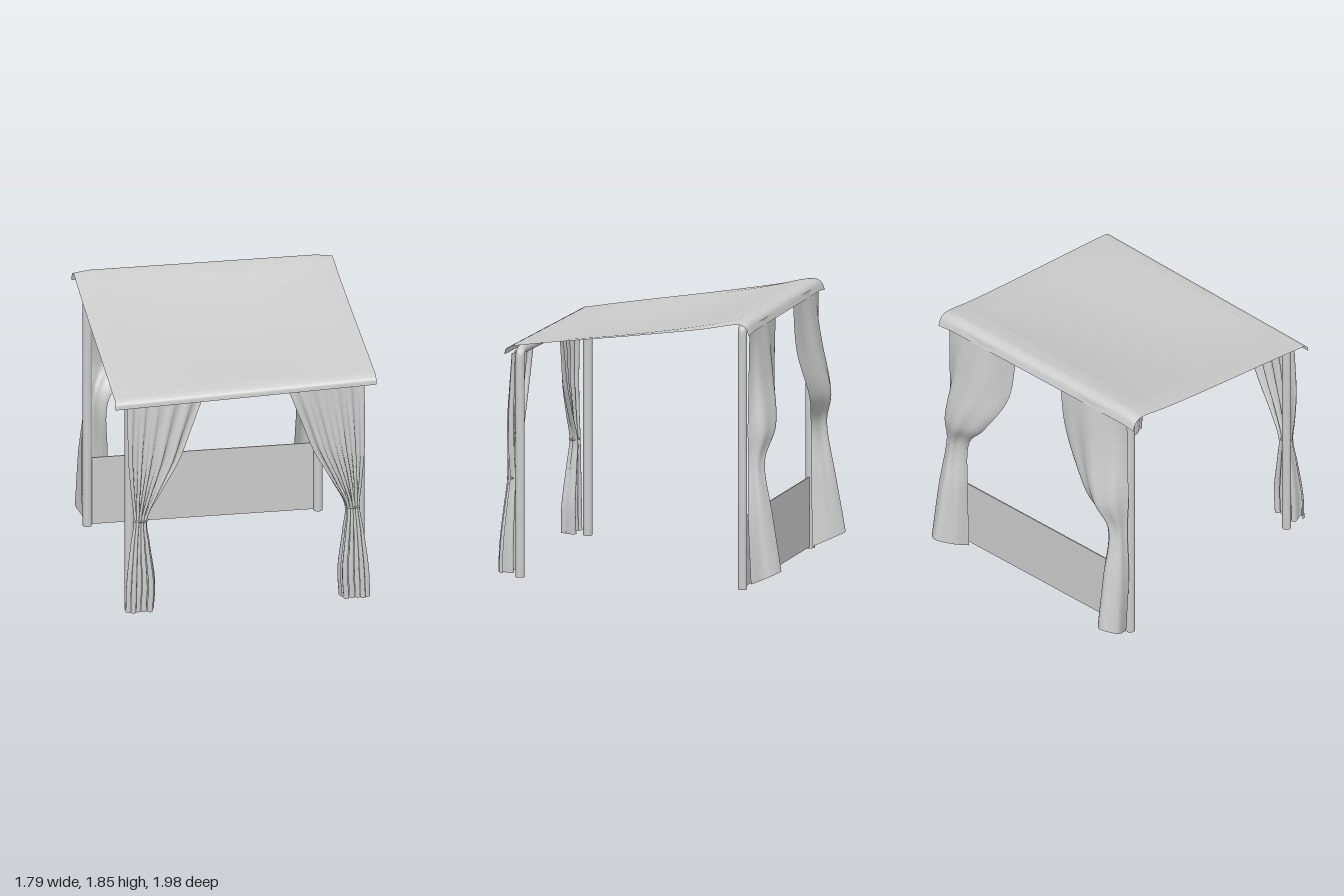
import * as THREE from 'three';

const cloth = new THREE.MeshStandardMaterial({ color: 0xcccccc, side: THREE.DoubleSide });
cloth.name = 'cloth grey';

function add(parent, name, geometry) {
  const mesh = new THREE.Mesh(geometry, cloth);
  mesh.name = name;
  parent.add(mesh);
  return mesh;
}

// Smooth grid surface from a point function of (u, v)
function sheet(nu, nv, point) {
  const pos = [], index = [];
  for (let j = 0; j <= nv; j++) {
    for (let i = 0; i <= nu; i++) {
      pos.push(...point(i / nu, j / nv));
      if (i < nu && j < nv) {
        const a = j * (nu + 1) + i, b = a + nu + 1;
        index.push(a, a + 1, b, a + 1, b + 1, b);
      }
    }
  }
  const g = new THREE.BufferGeometry();
  g.setAttribute('position', new THREE.Float32BufferAttribute(pos, 3));
  g.setIndex(index);
  g.computeVertexNormals();
  return g;
}

// Two posts joined by a top bar with rounded corners
function arch(z, yLeft, yRight) {
  const v = (x, y) => new THREE.Vector3(x, y, z);
  const x = 0.79, r = 0.05;
  const path = new THREE.CurvePath();
  path.add(new THREE.LineCurve3(v(-x, 0), v(-x, yLeft - r)));
  path.add(new THREE.QuadraticBezierCurve3(v(-x, yLeft - r), v(-x, yLeft), v(-x + r, yLeft)));
  path.add(new THREE.LineCurve3(v(-x + r, yLeft), v(x - r, yRight)));
  path.add(new THREE.QuadraticBezierCurve3(v(x - r, yRight), v(x, yRight), v(x, yRight - r)));
  path.add(new THREE.LineCurve3(v(x, yRight - r), v(x, 0)));
  return new THREE.TubeGeometry(path, 240, 0.031, 16, false);
}

// Curtain through cross-sections: { y, amp, pts: [[x, z], ...] } from top to bottom
function curtain(rows, side, pleats, hem) {
  const nu = 72, nv = 60;
  const curves = rows.map(r => new THREE.CatmullRomCurve3(
    r.pts.map(([x, z]) => new THREE.Vector3(x, r.y, z))));
  const columns = [];
  for (let i = 0; i <= nu; i++) {
    const u = i / nu;
    columns.push(new THREE.CatmullRomCurve3(rows.map((r, k) => {
      const p = curves[k].getPoint(u);
      const phase = u * Math.PI * 2 * pleats + 0.4;
      p.z += r.amp * Math.sin(phase) * (0.75 + 0.25 * Math.sin(u * 9));
      p.x += r.amp * 0.25 * Math.sin(phase * 2);
      return p;
    })));
  }
  return sheet(nu, nv, (u, v) => {
    const p = columns[Math.round(u * nu)].getPoint(v);
    return [side * p.x, p.y + hem(p, v), p.z];
  });
}

const frontRows = [
  [1.53, 0.008, 0.81, 0.29, 0.89], [1.3, 0.016, 0.81, 0.375, 0.9],
  [1.08, 0.022, 0.805, 0.46, 0.91], [0.85, 0.026, 0.785, 0.59, 0.91],
  [0.67, 0.03, 0.767, 0.68, 0.905], [0.5, 0.038, 0.79, 0.665, 0.915],
  [0.22, 0.052, 0.82, 0.63, 0.93], [0.03, 0.056, 0.825, 0.64, 0.932],
].map(([y, amp, xo, xi, z]) => ({
  y, amp, pts: [[xo, z - 0.01], [xo * 0.55 + xi * 0.45, z + 0.005], [xi, z - 0.01]],
}));

const backRows = [
  { y: 1.81, amp: 0, pts: [[0.81, -0.79], [0.65, -0.795], [0.5, -0.8], [0.35, -0.795], [0.2, -0.79]] },
  { y: 1.45, amp: 0.004, pts: [[0.81, -0.785], [0.7, -0.84], [0.55, -0.865], [0.4, -0.83], [0.26, -0.8]] },
  { y: 1.1, amp: 0.008, pts: [[0.81, -0.78], [0.76, -0.88], [0.66, -0.92], [0.56, -0.89], [0.46, -0.83]] },
  { y: 0.88, amp: 0.008, pts: [[0.8, -0.78], [0.78, -0.84], [0.73, -0.87], [0.68, -0.84], [0.63, -0.79]] },
  { y: 0.5, amp: 0.004, pts: [[0.82, -0.785], [0.82, -0.88], [0.74, -0.93], [0.67, -0.87], [0.64, -0.79]] },
  { y: 0.04, amp: 0, pts: [[0.81, -0.8], [0.84, -0.92], [0.75, -0.995], [0.66, -0.91], [0.62, -0.8]] },
];

// Canopy: front-to-back profile with sagging middle, lower front corner on the -x side
function canopy() {
  const profile = new THREE.CatmullRomCurve3([
    [0.91, 1.54], [0.903, 1.575], [0.87, 1.597], [0.8, 1.61], [0.5, 1.655], [0, 1.725],
    [-0.5, 1.803], [-0.68, 1.84], [-0.74, 1.846], [-0.785, 1.825], [-0.81, 1.77],
  ].map(([z, y]) => new THREE.Vector3(0, y, z)), false, 'centripetal');
  return sheet(32, 80, (u, v) => {
    const p = profile.getPoint(v);
    const s = u * 2 - 1;
    const front = THREE.MathUtils.clamp((p.z + 0.7) / 1.6, 0, 1);
    const inner = THREE.MathUtils.clamp((0.8 - p.z) / 1.4, 0, 1);
    const sag = 0.05 * Math.sin(Math.PI * inner) * (1 - s * s);
    const corner = 0.015 * THREE.MathUtils.clamp((Math.abs(s) - 0.88) / 0.12, 0, 1) * (1 - front);
    const x = s < 0 ? s * (0.885 + 0.015 * front) : s * 0.89;
    const z = p.z + (p.z > 0.85 ? 0.015 * (1 - u) : 0);
    return [x, p.y - 0.055 * (1 - u) * front - sag - corner, z];
  });
}

export function createModel() {
  const model = new THREE.Group();
  model.name = 'curtainedCanopy';

  // Frame
  add(model, 'frontFrame', arch(0.83, 1.505, 1.555));
  add(model, 'backFrame', arch(-0.735, 1.805, 1.805));
  for (const x of [-0.79, 0.79]) {
    for (const z of [0.83, -0.735]) {
      const foot = add(model, 'postFoot', new THREE.CylinderGeometry(0.031, 0.031, 0.01, 16));
      foot.position.set(x, 0.005, z);
    }
  }

  // Roof cloth and low back wall
  add(model, 'canopyRoof', canopy());
  const wall = add(model, 'backWall', new THREE.BoxGeometry(1.58, 0.48, 0.008));
  wall.position.set(0, 0.25, -0.735);

  // Tied curtains, mirrored left and right
  for (const side of [-1, 1]) {
    const name = side > 0 ? 'left' : 'right';
    add(model, name + 'FrontCurtain', curtain(frontRows, side, 5, () => 0));
    add(model, name + 'BackCurtain', curtain(backRows, side, 3,
      (p, v) => 0.45 * Math.max(0, -0.8 - p.z) * THREE.MathUtils.smoothstep(v, 0.75, 1)));
    const tie = add(model, name + 'CurtainTie',
      new THREE.TorusGeometry(0.045, 0.006, 8, 28).rotateX(Math.PI / 2));
    tie.scale.z = 0.75;
    tie.position.set(side * 0.723, 0.67, 0.903);
  }
  return model;
}
